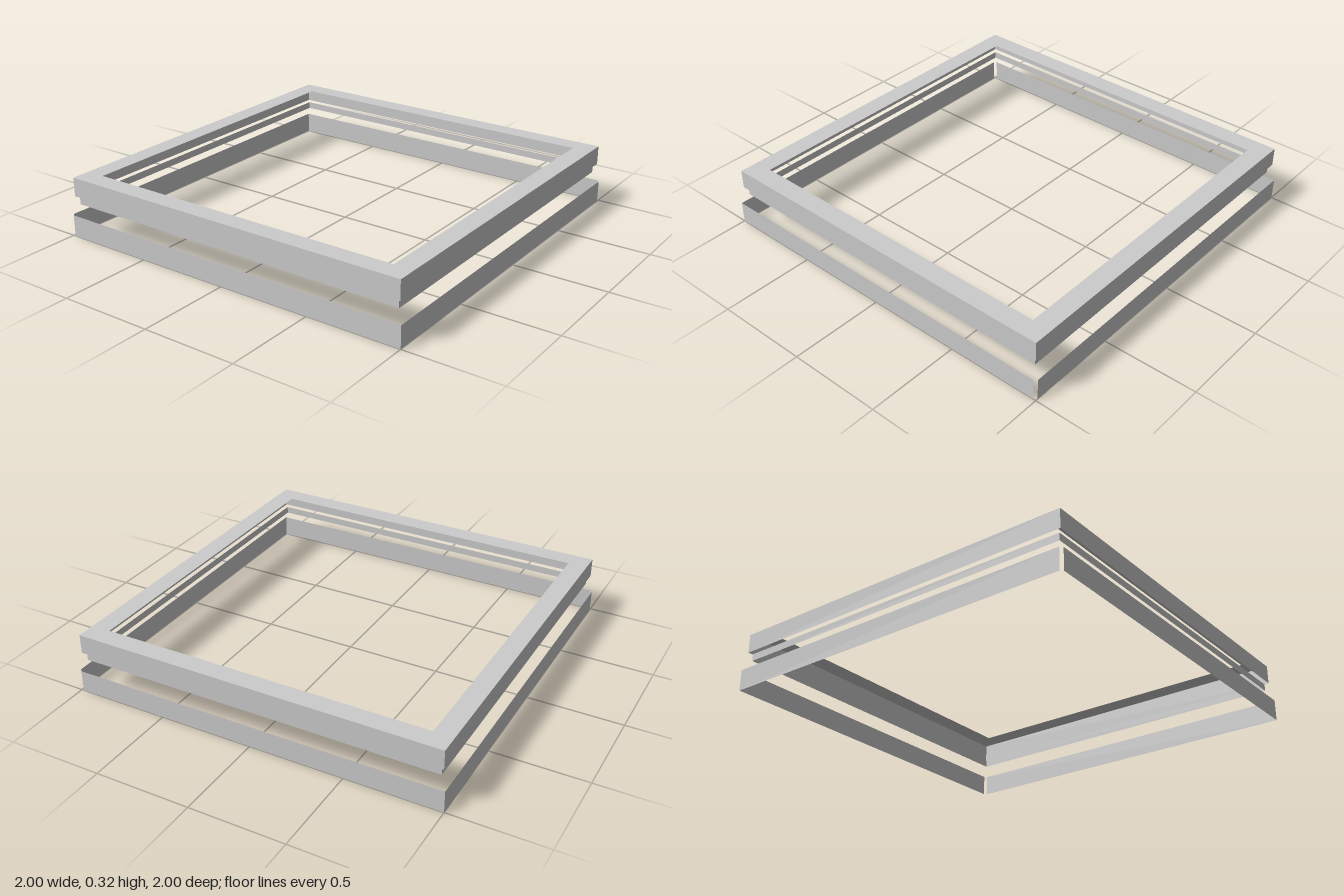
import * as THREE from 'three';

const material = new THREE.MeshStandardMaterial({ color: 0xcccccc, flatShading: true, side: THREE.DoubleSide });

// Four thin upright strips in a square at distance r from the centre,
// each reaching from -r + gapStart to r - gapEnd along its side.
function wallRing(name, r, y0, y1, gaps = [[0, 0], [0, 0], [0, 0], [0, 0]]) {
  const ring = new THREE.Group();
  ring.name = name;
  ['front', 'right', 'back', 'left'].forEach((side, i) => {
    const [a, b] = gaps[i];
    const geometry = new THREE.PlaneGeometry(2 * r - a - b, y1 - y0);
    geometry.translate((a - b) / 2, (y0 + y1) / 2, r);
    geometry.rotateY(i * Math.PI / 2);
    const strip = new THREE.Mesh(geometry, material);
    strip.name = `${name}_${side}`;
    ring.add(strip);
  });
  return ring;
}

function square(target, r) {
  target.moveTo(-r, -r).lineTo(r, -r).lineTo(r, r).lineTo(-r, r).closePath();
  return target;
}

export function createModel() {
  const model = new THREE.Group();
  model.name = 'frame';

  // lower band, with narrow slits at two opposite corners
  const slit = 0.013;
  model.add(wallRing('lowerBand', 1, 0, 0.115, [[slit, 0], [0, slit], [slit, 0], [0, slit]]));

  // slim middle band
  model.add(wallRing('middleBand', 0.966, 0.17, 0.208));

  // upper rim: outer wall with a flat square ring on top, open underneath
  const rim = 0.983, rimTop = 0.317;
  model.add(wallRing('rimWall', rim, 0.216, rimTop));
  const shape = square(new THREE.Shape(), rim);
  shape.holes.push(square(new THREE.Path(), 0.88));
  const top = new THREE.Mesh(new THREE.ShapeGeometry(shape).rotateX(-Math.PI / 2), material);
  top.name = 'rimTop';
  top.position.y = rimTop;
  model.add(top);

  return model;
}
